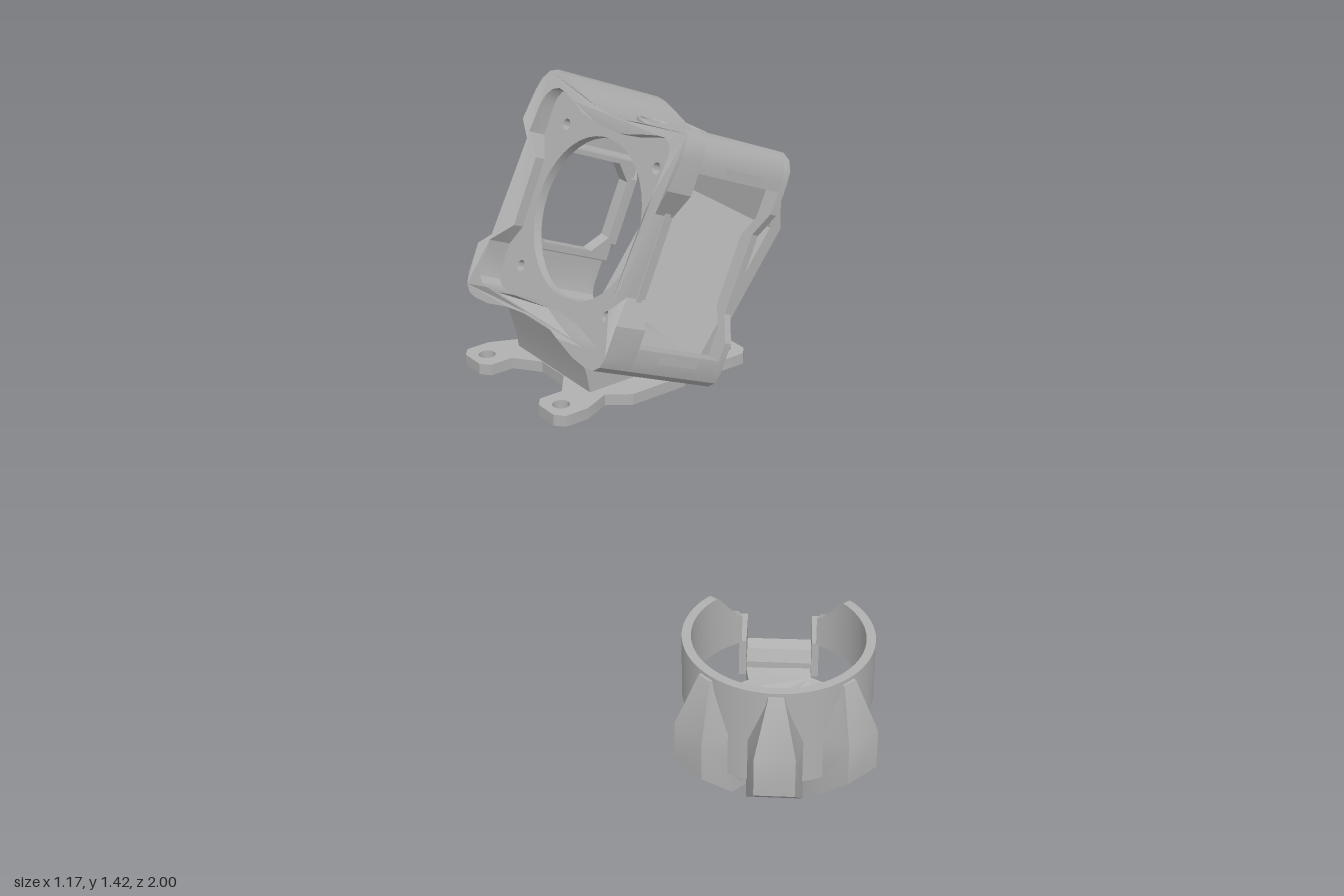
import * as THREE from 'three';
import { toCreasedNormals } from 'three/addons/utils/BufferGeometryUtils.js';

const gray = new THREE.MeshStandardMaterial({ color: 0xb0b0b0, side: THREE.DoubleSide });
gray.name = 'plastic gray';

const V = (p) => new THREE.Vector2(p[0], p[1]);
const poly = (pts) => new THREE.Shape(pts.map(V));
const circleHole = (x, y, r) => new THREE.Path().absarc(x, y, r, 0, Math.PI * 2, true);
const extrude = (shape, depth) =>
  new THREE.ExtrudeGeometry(shape, { depth, bevelEnabled: false, curveSegments: 20 });

function add(parent, name, geo, crease = 0.5) {
  const mesh = new THREE.Mesh(toCreasedNormals(geo, crease), gray);
  mesh.name = name;
  parent.add(mesh);
  return mesh;
}

// move every vertex by a rule
function warp(geo, rule) {
  const p = geo.attributes.position;
  const v = new THREE.Vector3();
  for (let i = 0; i < p.count; i++) {
    v.fromBufferAttribute(p, i);
    rule(v);
    p.setXYZ(i, v.x, v.y, v.z);
  }
  return geo;
}

// ---------- tilted camera case: local x = depth, y = height, z = width ----------
const outer = [[0, 0.705], [0.07, 0.709], [0.14, 0.722], [0.22, 0.745], [0.28, 0.76], [0.32, 0.764],
  [0.355, 0.75], [0.375, 0.72], [0.38, 0.68], [0.38, 0.58], [0.335, 0.5], [0.335, 0.24], [0.38, 0.16],
  [0.38, 0.06], [0.37, 0.025], [0.345, 0.005], [0.31, 0], [0.24, 0.005], [0.14, 0.03], [0, 0.04]];
const inner = outer.map(([a, v]) => [a * 0.86, 0.38 + (v - 0.38) * 0.87]);
const mirror = (pts) => pts.map(([a, v]) => [-a, v]);
const closed = (half) => [...half, ...mirror(half).reverse().slice(1, -1)];

// part of a half outline between its centre and a given height
function clip(half, level, fromTop) {
  const pts = fromTop ? half : [...half].reverse();
  const out = [];
  for (let i = 0; i < pts.length; i++) {
    const [a, v] = pts[i];
    if (fromTop ? v >= level : v <= level) { out.push(pts[i]); continue; }
    const [b, w] = pts[i - 1];
    out.push([b + (a - b) * (level - w) / (v - w), level]);
    break;
  }
  return out;
}

// trough-shaped roof or floor section; each side may end at its own height
function troughShape(levelFront, levelBack, fromTop) {
  const side = (half) => [
    ...mirror(clip(half, levelFront, fromTop)).reverse(),
    ...clip(half, levelBack, fromTop).slice(1)];
  return poly([...side(outer), ...side(inner).reverse()]);
}

function ringShape() {
  const s = poly(closed(outer));
  s.holes.push(new THREE.Path(closed(inner).map(V)));
  return s;
}

const alongDepth = (shape, u0, u1) =>
  extrude(shape, u1 - u0).rotateY(Math.PI / 2).translate(u0, 0, 0);

function cameraCase() {
  const g = new THREE.Group();
  g.name = 'cameraCase';
  g.position.set(0.23, 0.55, -0.62);
  g.rotation.z = -24 * Math.PI / 180;

  // front rim with wavy edge, then roof, floor and rear rim
  const rim = warp(alongDepth(ringShape(), -0.47, -0.355), (p) => {
    if (p.x > -0.46) return;
    if (Math.abs(p.y - 0.38) < 0.16 || Math.abs(p.z) < 0.1) p.x += 0.045;
    else p.x += p.y > 0.5 ? 0.02 + Math.max(0, p.y - 0.6) * 0.18 : 0;
  });
  add(g, 'frontRim', rim);
  add(g, 'caseRoof', alongDepth(troughShape(0.65, 0.53, true), -0.355, -0.025));
  add(g, 'caseFloor', alongDepth(troughShape(0.1, 0.215, false), -0.355, -0.025));
  add(g, 'rearRim', alongDepth(ringShape(), -0.025, 0));

  // far side wall with an eight-sided window
  const wall = poly([[-0.36, 0.2], [-0.015, 0.2], [-0.015, 0.54], [-0.36, 0.54]]);
  const [l, r, b, t, c] = [-0.342, -0.035, 0.222, 0.525, 0.055];
  wall.holes.push(new THREE.Path([[l + c, b], [l, b + c], [l, t - c], [l + c, t],
    [r - c, t], [r, t - c], [r, b + c], [r - c, b]].map(V)));
  add(g, 'windowWall', extrude(wall, 0.045).translate(0, 0, -0.335));

  // lens mounting plate with round opening and screw holes
  const lens = poly(closed(inner));
  lens.holes.push(circleHole(0, 0.38, 0.255));
  for (const a of [-1, 1]) for (const v of [-1, 1])
    lens.holes.push(circleHole(a * 0.235, 0.38 + v * 0.235, 0.018));
  add(g, 'lensPlate', alongDepth(lens, -0.39, -0.36));

  // button with ring on the roof
  const button = add(g, 'roofButton', new THREE.CylinderGeometry(0.07, 0.07, 0.03, 40));
  button.position.set(-0.2, 0.699, 0);
  const ring = add(g, 'roofButtonRing', new THREE.TorusGeometry(0.09, 0.008, 8, 48).rotateX(Math.PI / 2), 1);
  ring.position.set(-0.2, 0.711, 0);

  // latch tabs and guide rail on the open side
  for (const v of [0.672, 0.075]) {
    const tab = add(g, 'latchTab', new THREE.BoxGeometry(0.15, 0.022, 0.02));
    tab.position.set(-0.185, v, 0.372);
  }
  const rail = add(g, 'guideRail', new THREE.BoxGeometry(0.02, 0.5, 0.03));
  rail.position.set(-0.38, 0.38, 0.325);
  return g;
}

function caseBase() {
  const g = new THREE.Group();
  g.name = 'caseBase';
  // four-eared base plate
  const q = [[0.2, 0.06], [0.26, 0.14], [0.34, 0.14], [0.365, 0.17], [0.365, 0.25], [0.34, 0.28],
    [0.26, 0.28], [0.17, 0.24], [0.1, 0.29]];
  const half = [...q, ...mirror(q).reverse()];
  const plate = poly([...half, ...half.map(([x, z]) => [x, -z]).reverse()]);
  for (const s of [-1, 1]) {
    plate.holes.push(circleHole(0.06, s * 0.235, 0.032));
    for (const k of [-1, 1]) plate.holes.push(circleHole(k * 0.31, s * 0.21, 0.027));
  }
  add(g, 'basePlate', extrude(plate, 0.037).rotateX(-Math.PI / 2).translate(0.085, 0.548, -0.62));

  // wedge between base and case
  const wedge = poly([[-0.15, 0.75], [-0.12, 0.64], [-0.11, 0.57], [0.2, 0.57], [0.2, 0.605]]);
  add(g, 'supportWedge', extrude(wedge, 0.4).translate(0, 0, -0.82));

  // bent rear cover
  const cover = poly([[0.27, 0.57], [0.577, 0.97], [0.577, 1.16], [0.56, 1.19], [0.5, 1.19], [0.49, 1.15],
    [0.535, 1.15], [0.535, 0.985], [0.24, 0.6]]);
  add(g, 'rearCover', extrude(cover, 0.54).translate(0, 0, -0.89));
  return g;
}

// ---------- motor guard cup ----------
function motorGuard() {
  const g = new THREE.Group();
  g.name = 'motorGuard';
  g.position.set(-0.26, 0, 0.67);
  const armAngle = 2.428, finAngle = armAngle - Math.PI, gap = 0.46;

  // upper ring, dipping towards the notch over the arm
  const band = (y0, y1, start, len) => new THREE.LatheGeometry(
    [[0.235, y0], [0.26, y0], [0.26, y1], [0.235, y1], [0.235, y0]].map(V), 72, start, len);
  const top = warp(band(0.18, 0.36, armAngle + gap, Math.PI * 2 - gap * 2), (p) => {
    if (p.y < 0.3) return;
    let d = Math.abs(Math.atan2(p.x, p.z) - armAngle);
    d = Math.min(d, Math.PI * 2 - d);
    p.y -= 0.09 * (1 - THREE.MathUtils.smoothstep(d, gap, gap + 0.4));
  });
  add(g, 'upperRing', top);
  add(g, 'lowerRing', band(0.07, 0.18, finAngle - 1.3, 2.6));

  // three tapered bumpers
  const fin = poly([[0.17, 0], [0.235, 0], [0.325, 0.08], [0.325, 0.2], [0.268, 0.35], [0.24, 0.35],
    [0.24, 0.2], [0.24, 0.08]]);
  for (const k of [-1, 0, 1]) {
    const geo = warp(extrude(fin, 2).translate(0, 0, -1), (p) => {
      const taper = p.y > 0.2 ? 0.075 - (p.y - 0.2) * 0.36 : 0.075;
      p.z *= taper * (p.x > 0.3 ? 0.72 : 1);
    });
    add(g, 'bumper', geo).rotation.y = finAngle + k * Math.PI / 4 - Math.PI / 2;
  }

  // floor spider with rising tips and screw holes
  const pts = [[-0.5, 0.66], [-0.38, 0.61], [-0.31, 0.45], [-0.19, 0.46], [-0.12, 0.335], [0.05, 0.48],
    [-0.05, 0.57], [-0.02, 0.69], [-0.13, 0.73], [-0.18, 0.875], [-0.31, 0.865], [-0.34, 0.78], [-0.47, 0.78]];
  const floor = poly(pts.map(([x, z]) => [x + 0.26, 0.67 - z]));
  floor.holes.push(circleHole(0, 0, 0.03));
  for (const [x, y] of [[-0.01, 0.12], [-0.12, -0.01], [0.12, 0.01], [0.01, -0.12]])
    floor.holes.push(circleHole(x, y, 0.023));
  const spider = warp(extrude(floor, 0.03).rotateX(-Math.PI / 2), (p) => {
    p.y += THREE.MathUtils.clamp((Math.hypot(p.x, p.z) - 0.19) * 0.8, 0, 0.07);
  });
  add(g, 'floorSpider', spider);
  const boss = new THREE.LatheGeometry(
    [[0.03, 0], [0.055, 0], [0.055, 0.045], [0.03, 0.045], [0.03, 0]].map(V), 32);
  add(g, 'centreBoss', boss);

  // wire arm: a trough with two side walls
  const arm = new THREE.Group();
  arm.name = 'wireArm';
  arm.rotation.y = armAngle;
  for (const s of [-1, 1])
    add(arm, 'armSide', new THREE.BoxGeometry(0.02, 0.115, 0.135)).position.set(s * 0.102, 0.1275, 0.277);
  add(arm, 'armFloor', new THREE.BoxGeometry(0.22, 0.02, 0.1)).position.set(0, 0.08, 0.294);
  g.add(arm);
  return g;
}

export function createModel() {
  const model = new THREE.Group();
  model.name = 'cameraMountAndMotorGuard';
  model.add(cameraCase(), caseBase(), motorGuard());
  return model;
}
